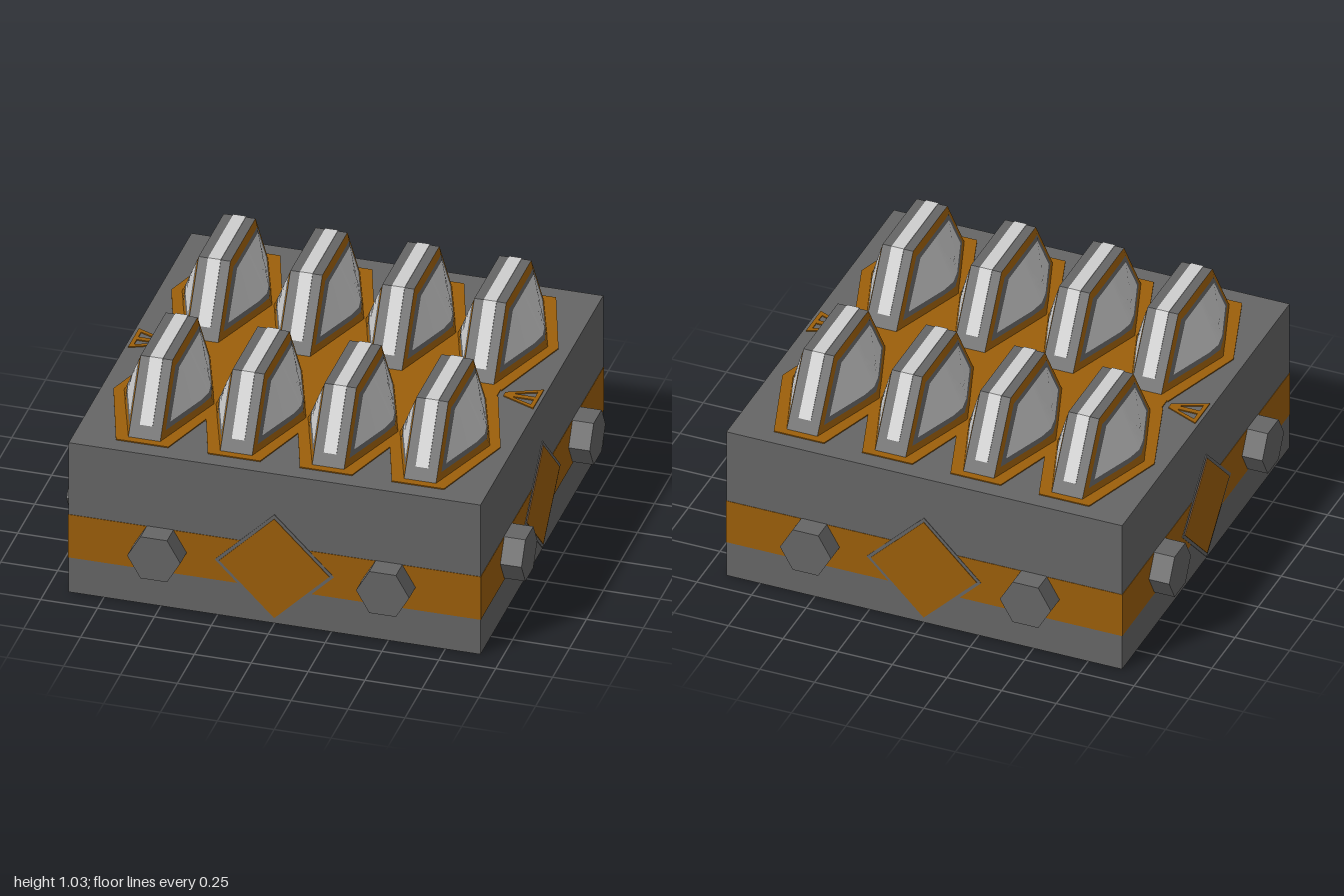
import * as THREE from 'three';
import { toCreasedNormals } from 'three/addons/utils/BufferGeometryUtils.js';

const make = (name, color) => Object.assign(new THREE.MeshStandardMaterial({ color }), { name });
const grey = make('iron grey', 0x666666);
const orange = make('burnt orange', 0x9c5f0a);
const silver = make('pale silver', 0xcecece);

const HALF = 0.905, DECK = 0.73, TIP = 1.03;

function add(parent, name, geometry, material, x = 0, y = 0, z = 0) {
  const mesh = new THREE.Mesh(geometry, material);
  mesh.name = name;
  mesh.position.set(x, y, z);
  parent.add(mesh);
  return mesh;
}

const polygon = (pts) => new THREE.Shape(pts.map(([x, y]) => new THREE.Vector2(x, y)));
const extrude = (shape, depth) => new THREE.ExtrudeGeometry(shape, { depth, bevelEnabled: false });

// Flat plate lying on the deck
const deckPlate = (shape) => extrude(shape, 0.005).rotateX(-Math.PI / 2);

// Trapezoid in the z-y plane, extruded symmetrically along x
function ridge(halfX, yBottom, yTop, lift) {
  const w = (y) => 0.37 - 0.185 * (y - DECK) / (TIP - DECK) + lift;
  const shape = polygon([[-w(yBottom), yBottom], [w(yBottom), yBottom], [w(yTop), yTop + lift], [-w(yTop), yTop + lift]]);
  return extrude(shape, halfX * 2).translate(0, 0, -halfX).rotateY(Math.PI / 2);
}

// Closed trapezoid loop of [z, y] points, shrunk about its middle by k
function loop([yb, yt, wb, wt], k = 1) {
  const corners = [[-wb, yb], [-wt, yt], [wt, yt], [wb, yb]];
  const mid = (yb + yt) / 2, n = 8, pts = [];
  corners.forEach(([z, y], i) => {
    const [z2, y2] = corners[(i + 1) % 4];
    for (let j = 0; j < n; j++) {
      const f = j / n;
      pts.push([(z + (z2 - z) * f) * k, mid + (y + (y2 - y) * f - mid) * k]);
    }
  });
  return pts;
}

// Bulging flank surface stitched between successive loops
function flank(loops) {
  const pos = [], nor = [], idx = [], n = loops[0].length;
  for (const pts of loops) {
    for (const [z, y] of pts) {
      const t = (y - DECK) / (TIP - DECK), az = Math.abs(z);
      const x = Math.min(0.2 - 0.13 * t, 0.2 - 0.3514 * az - 0.065 * t);
      const s = Math.min(1, az / (0.37 - 0.185 * t)) * (1 - 0.5 * t);
      const v = new THREE.Vector3(1, 0.433 - 0.217 * s, Math.sign(z) * 0.3514 * s).normalize();
      pos.push(x, y, z);
      nor.push(v.x, v.y, v.z);
    }
  }
  for (let r = 0; r < loops.length - 1; r++) {
    for (let i = 0; i < n; i++) {
      const a = r * n + i, b = r * n + (i + 1) % n;
      idx.push(a, b, a + n, b, b + n, a + n);
    }
  }
  const g = new THREE.BufferGeometry();
  g.setAttribute('position', new THREE.Float32BufferAttribute(pos, 3));
  g.setAttribute('normal', new THREE.Float32BufferAttribute(nor, 3));
  g.setIndex(idx);
  return g;
}

export function createModel() {
  const model = new THREE.Group();
  model.name = 'spikedBlock';

  // Block and the band around it
  add(model, 'block', new THREE.BoxGeometry(HALF * 2, DECK, HALF * 2), grey, 0, DECK / 2, 0);
  add(model, 'band', new THREE.BoxGeometry(HALF * 2 + 0.004, 0.21, HALF * 2 + 0.004), orange, 0, 0.275, 0);

  // Diamond and two hexagonal bolts on each side
  const diamond = (r) => extrude(polygon([[r, 0], [0, r], [-r, 0], [0, -r]]), 0.003);
  const rim = diamond(0.262), plate = diamond(0.242);
  const bolt = toCreasedNormals(
    new THREE.CylinderGeometry(0.117, 0.117, 0.1, 6).rotateY(Math.PI / 2).rotateX(Math.PI / 2), 0.5);
  for (let i = 0; i < 4; i++) {
    const side = new THREE.Group();
    side.name = 'blockSide';
    side.rotation.y = i * Math.PI / 2;
    add(side, 'diamondRim', rim, grey, 0, 0.27, HALF + 0.001);
    add(side, 'diamond', plate, orange, 0, 0.27, HALF + 0.004);
    for (const x of [-0.503, 0.503]) add(side, 'bolt', bolt, grey, x, 0.28, 0.95);
    model.add(side);
  }

  // Orange deck between the rows
  add(model, 'deckCentre', new THREE.BoxGeometry(1.43, 0.005, 0.84), orange, 0, DECK + 0.0025, 0);

  // Shared spike geometry
  const base = deckPlate(polygon([[0.245, 0], [0.115, 0.4], [-0.115, 0.4], [-0.245, 0], [-0.115, -0.4], [0.115, -0.4]]));
  const core = ridge(0.07, DECK, TIP, 0);
  const strip = ridge(0.028, 0.785, TIP, 0.003);
  const outer = [DECK, TIP, 0.37, 0.185];
  const middle = [0.765, 1.0, 0.32, 0.175];
  const inner = [0.787, 0.983, 0.28, 0.155];
  const border = flank([loop(outer), loop(middle)]);
  const inset = flank([loop(middle), loop(inner)]);
  const panel = flank([1, 0.8, 0.6, 0.4, 0.2, 0].map((k) => loop(inner, k)));

  // Two rows of four spikes
  for (const z of [-0.427, 0.427]) {
    for (const x of [-0.606, -0.202, 0.202, 0.606]) {
      const spike = new THREE.Group();
      spike.name = 'spike';
      spike.position.set(x, 0, z);
      add(spike, 'spikeBase', base, orange, 0, DECK, 0);
      add(spike, 'spikeCore', core, grey);
      add(spike, 'spikeStrip', strip, silver);
      for (const turn of [0, Math.PI]) {
        const half = new THREE.Group();
        half.name = 'spikeFlank';
        half.rotation.y = turn;
        add(half, 'flankBorder', border, orange);
        add(half, 'flankInset', inset, grey);
        add(half, 'flankPanel', panel, silver);
        spike.add(half);
      }
      model.add(spike);
    }
  }

  // Small split triangles at the deck ends
  const mark = polygon([[0.89, -0.08], [0.89, 0.08], [0.74, 0.015], [0.74, -0.015]]);
  for (const s of [-1, 1]) {
    mark.holes.push(new THREE.Path(
      [[0.872, s * 0.052], [0.872, s * 0.012], [0.785, s * 0.012], [0.785, s * 0.018]]
        .map(([x, y]) => new THREE.Vector2(x, y))));
  }
  const markGeometry = deckPlate(mark);
  for (const turn of [0, Math.PI]) {
    add(model, 'deckMark', markGeometry, orange, 0, DECK, 0).rotation.y = turn;
  }

  return model;
}
